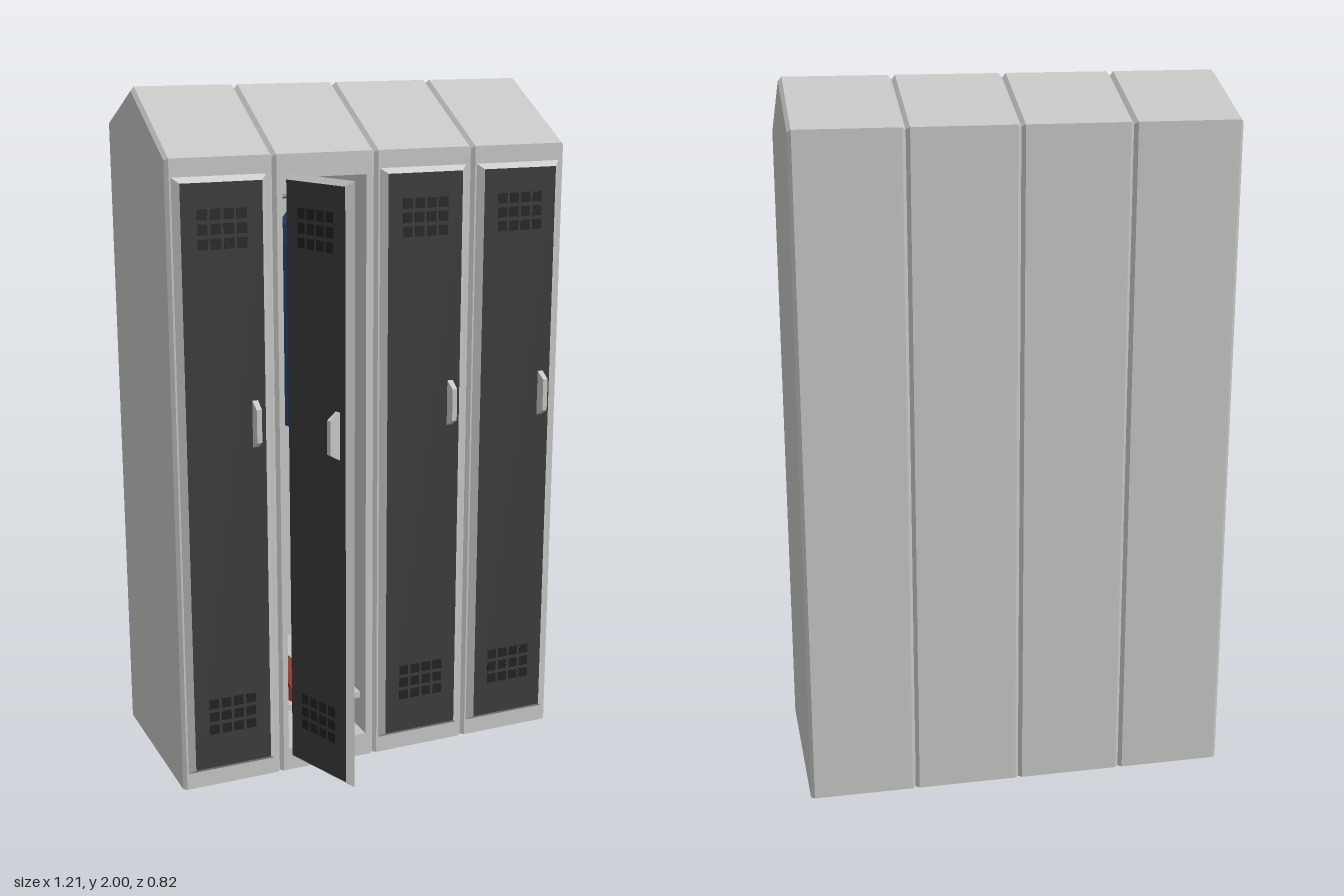
import * as THREE from 'three';

const mat = (name, color, side = THREE.FrontSide) => {
  const m = new THREE.MeshStandardMaterial({ color, side });
  m.name = name;
  return m;
};

export function createModel() {
  const root = new THREE.Group();
  root.name = 'lockerRow';
  const steel = mat('lightGreySteel', 0xc4c5c3);
  const steelSheet = steel;
  const panel = mat('darkDoorPanel', 0x3b3b3b);
  const vent = mat('ventBlack', 0x222222);
  const cloth = mat('navyCloth', 0x2a4470);
  const leather = mat('redLeather', 0x8f3527);
  const metal = mat('hangerMetal', 0x777777);

  const add = (parent, name, geo, material, x = 0, y = 0, z = 0) => {
    const m = new THREE.Mesh(geo, material);
    m.name = name;
    m.position.set(x, y, z);
    parent.add(m);
    return m;
  };
  const box = (w, h, d) => new THREE.BoxGeometry(w, h, d);
  const faceted = (geo) => {
    const g = geo.index ? geo.toNonIndexed() : geo;
    g.computeVertexNormals();
    return g;
  };
  // box whose +z face is inset in x and y
  const frustum = (w, h, d, ix, iy) => {
    const g = box(w, h, d), p = g.attributes.position;
    for (let i = 0; i < p.count; i++) {
      if (p.getZ(i) < 0) continue;
      p.setX(i, p.getX(i) - Math.sign(p.getX(i)) * ix);
      p.setY(i, p.getY(i) - Math.sign(p.getY(i)) * iy);
    }
    g.computeVertexNormals();
    return g;
  };

  const pitch = 0.3025, bevel = 0.01;
  const full = [[0.15, 0], [0.15, 1.83], [-0.155, 2], [-0.41, 1.89], [-0.41, 0]];
  const inset = [[0.14, 0], [0.14, 1.824], [-0.155, 1.988], [-0.4, 1.883], [-0.4, 0]];

  // locker casing: side profile swept across x with bevelled edges
  const casing = (openFront) => {
    const h = pitch / 2;
    const rings = [[-h, inset], [-h + bevel, full], [h - bevel, full], [h, inset]]
      .map(([x, prof]) => prof.map(([z, y]) => [x, y, z]));
    const v = [];
    const tri = (...pts) => pts.forEach((q) => v.push(...q));
    for (let s = 0; s < 3; s++) {
      for (let j = 0; j < 5; j++) {
        if (openFront && s === 1 && j === 0) continue;
        const k = (j + 1) % 5, a = rings[s], b = rings[s + 1];
        tri(a[j], b[j], b[k], a[j], b[k], a[k]);
      }
    }
    for (let j = 1; j < 4; j++) {
      tri(rings[0][0], rings[0][j], rings[0][j + 1]);
      tri(rings[3][0], rings[3][j + 1], rings[3][j]);
    }
    const g = new THREE.BufferGeometry();
    g.setAttribute('position', new THREE.Float32BufferAttribute(v, 3));
    g.computeVertexNormals();
    return g;
  };

  // door with hinge edge at its local origin
  const doorW = 0.268, doorD = 0.017;
  const makeDoor = () => {
    const d = new THREE.Group();
    d.name = 'door';
    const cx = doorW / 2;
    add(d, 'doorPanel', frustum(doorW, 1.73, doorD, 0.018, 0.015),
      [steel, steel, steel, steel, panel, steel], cx, 0.915, doorD / 2);
    for (const y0 of [0.185, 1.6])
      for (let r = 0; r < 3; r++)
        for (let c = 0; c < 4; c++)
          add(d, 'ventHole', box(0.029, 0.029, 0.002), vent,
            cx + (c - 1.5) * 0.0375, y0 + r * 0.04, doorD + 0.0005);
    add(d, 'handle', frustum(0.017, 0.135, 0.033, 0.001, 0.02), steel, cx + 0.085, 1.09, doorD + 0.0165);
    return d;
  };

  for (let i = 0; i < 4; i++) {
    const c = (i - 1.5) * pitch, open = i === 1;
    add(root, 'lockerCasing', casing(open), steelSheet, c);
    const d = makeDoor();
    if (open) {
      d.position.set(-0.268, 0, 0.162);
      d.rotation.y = -70 * Math.PI / 180;
    } else d.position.set(c - doorW / 2 - 0.002, 0, 0.15);
    root.add(d);
  }

  // open locker: front frame and lining
  const inside = new THREE.Group();
  inside.name = 'openLockerInterior';
  inside.position.x = -pitch / 2;
  root.add(inside);
  const hw = pitch / 2 - bevel, ow = 0.125, y0 = 0.07, y1 = 1.765;
  const rect = (C, x, a, b) => {
    const s = new C();
    s.moveTo(-x, a); s.lineTo(x, a); s.lineTo(x, b); s.lineTo(-x, b); s.closePath();
    return s;
  };
  const frame = rect(THREE.Shape, hw, 0, 1.83);
  frame.holes.push(rect(THREE.Path, ow, y0, y1));
  add(inside, 'frontFrame', new THREE.ShapeGeometry(frame), steel, 0, 0, 0.15);
  const midY = (y0 + y1) / 2, t = 0.01, depth = 0.539, midZ = 0.149 - depth / 2;
  add(inside, 'backLining', box(ow * 2, y1 - y0, t), steel, 0, midY, -0.395);
  for (const s of [-1, 1])
    add(inside, 'sideLining', box(t, y1 - y0, depth), steel, s * (ow + t / 2), midY, midZ);
  add(inside, 'floorLining', box(ow * 2, t, depth), steel, 0, y0 - t / 2, midZ);
  add(inside, 'ceilingLining', box(ow * 2, t, depth), steel, 0, y1 + t / 2, midZ);
  add(inside, 'shoeShelf', box(ow * 2, 0.018, 0.5), steel, 0, 0.181, -0.14);

  // rod, hanger hook and coat
  const cz = -0.05;
  add(inside, 'hangingRod', new THREE.CylinderGeometry(0.006, 0.006, ow * 2, 10), metal, 0, 1.69, cz)
    .rotation.z = Math.PI / 2;
  add(inside, 'hangerHook', new THREE.CylinderGeometry(0.003, 0.003, 0.06, 6), metal, 0, 1.662, cz);
  const coat = [[0, 1.03], [0.082, 1.025], [0.074, 1.25], [0.072, 1.56], [0.058, 1.615], [0.04, 1.64], [0, 1.64]]
    .map(([r, y]) => new THREE.Vector2(r, y));
  add(inside, 'coatBody', faceted(new THREE.LatheGeometry(coat, 8)), cloth, 0, 0, cz);
  for (const s of [-1, 1]) {
    const sleeve = add(inside, 'coatSleeve', faceted(new THREE.CylinderGeometry(0.022, 0.028, 0.49, 6)),
      cloth, s * 0.082, 1.355, cz);
    sleeve.rotation.z = s * 0.045;
    sleeve.scale.z = 1.5;
  }

  // shoes: rows of z, height, half width from heel to toe
  const last = [[-0.17, 0.072, 0.03], [-0.12, 0.07, 0.033], [-0.06, 0.074, 0.034],
    [0.0, 0.052, 0.04], [0.07, 0.038, 0.043], [0.11, 0.02, 0.024]];
  for (const x of [-0.058, 0.047]) {
    const g = new THREE.BoxGeometry(1, 1, 1, 1, 1, last.length - 1), p = g.attributes.position;
    for (let i = 0; i < p.count; i++) {
      const [z, h, w] = last[Math.round((p.getZ(i) + 0.5) * (last.length - 1))];
      const top = p.getY(i) > 0;
      p.setXYZ(i, Math.sign(p.getX(i)) * w * (top ? 0.65 : 1), top ? h : 0, z);
    }
    add(inside, 'shoe', faceted(g), leather, x, 0.19, 0);
    add(inside, 'shoeOpening', box(0.034, 0.004, 0.09), vent, x, 0.262, -0.11);
  }
  return root;
}
